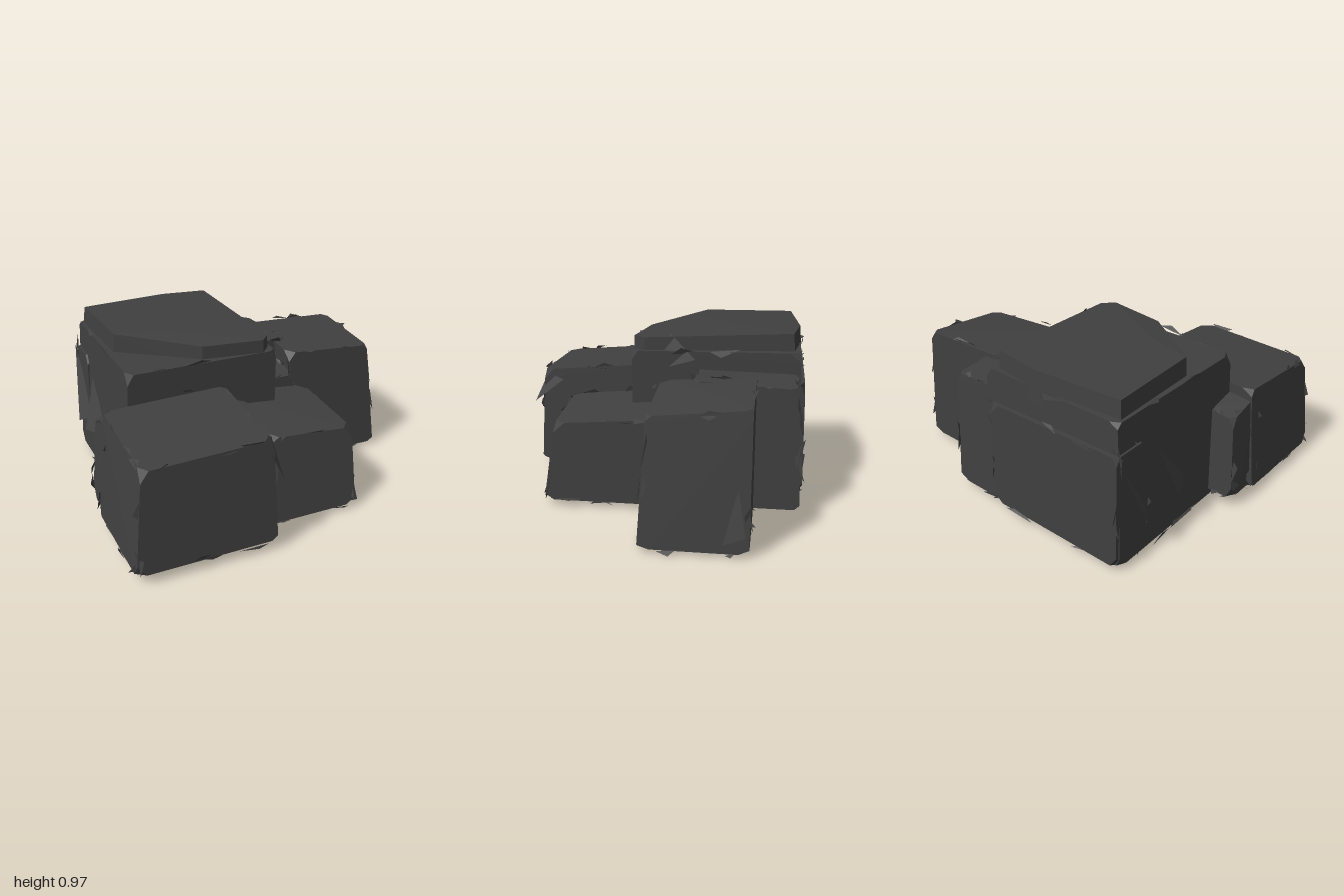
import * as THREE from 'three';
import { ConvexGeometry } from 'three/addons/geometries/ConvexGeometry.js';

// Small seeded generator for the ragged edges
function seeded(seed) {
  let s = seed;
  return () => {
    s = (s * 16807) % 2147483647;
    return s / 2147483647;
  };
}

// Corner pairs forming the twelve edges of a block (corner bits: x = 1, y = 2, z = 4)
const EDGES = [];
for (let i = 0; i < 8; i++) for (const b of [1, 2, 4]) if (!(i & b)) EDGES.push([i, i | b]);

// Eight corners from a bottom and a top rectangle [x0, x1, z0, z1];
// the top heights run back-left, back-right, front-left, front-right
function blockCorners({ bottom, top, y0, y1 }) {
  return Array.from({ length: 8 }, (_, i) => {
    const rect = i & 2 ? top : bottom;
    const y = i & 2 ? y1[(i & 1) + (i & 4 ? 2 : 0)] : y0;
    return new THREE.Vector3(rect[i & 1], y, rect[i & 4 ? 3 : 2]);
  });
}

// Block with every corner chipped into three points
function rockGeometry(corners, chip, rand) {
  const points = [];
  corners.forEach((c, i) => {
    for (const b of [1, 2, 4]) {
      const p = c.clone().lerp(corners[i ^ b], (chip * (0.5 + rand())) / c.distanceTo(corners[i ^ b]));
      points.push(p);
    }
  });
  return new ConvexGeometry(points);
}

// Thin splinters scattered along the edges of a block
function splinterGeometry(corners, rand) {
  const pos = [];
  const off = (p, k) => pos.push(p.x + (rand() - 0.5) * k, Math.max(0, p.y + (rand() - 0.5) * k), p.z + (rand() - 0.5) * k);
  for (const [a, b] of EDGES) {
    for (let n = 0; n < 3; n++) {
      const t = rand() * 0.75;
      const at = (u) => corners[a].clone().lerp(corners[b], u);
      off(at(t), 0.035);
      off(at(t + 0.12 + rand() * 0.13), 0.035);
      off(at(t + 0.1), 0.07);
    }
  }
  const g = new THREE.BufferGeometry();
  g.setAttribute('position', new THREE.Float32BufferAttribute(pos, 3));
  g.computeVertexNormals();
  return g;
}

const ROCKS = [
  { name: 'tallRockBase', bottom: [-0.79, 0.13, -0.82, 0.17], top: [-0.75, 0.14, -0.8, 0.17], y0: 0.04, y1: [0.87, 0.87, 0.86, 0.86] },
  { name: 'tallRockBackSlab', bottom: [-0.78, 0.1, -0.84, -0.6], top: [-0.77, 0.1, -0.83, -0.6], y0: 0.04, y1: [0.7, 0.68, 0.7, 0.68] },
  { name: 'frontLeftRock', bottom: [-0.96, -0.17, 0.17, 0.82], top: [-0.9, -0.19, 0.17, 0.79], y0: 0.06, y1: [0.68, 0.7, 0.63, 0.65] },
  { name: 'sideRock', bottom: [-0.94, -0.68, -0.02, 0.24], top: [-0.9, -0.68, 0, 0.24], y0: 0.08, y1: [0.57, 0.6, 0.63, 0.64] },
  { name: 'smallFrontRock', bottom: [-0.17, 0.43, 0, 0.64], top: [-0.08, 0.42, 0, 0.57], y0: 0.03, y1: [0.58, 0.53, 0.53, 0.49] },
  { name: 'rightRock', bottom: [0.4, 0.97, -0.56, 0.01], top: [0.33, 0.9, -0.56, -0.03], y0: 0.02, y1: [0.77, 0.75, 0.74, 0.7] },
  { name: 'backRock', bottom: [0.08, 0.42, -0.82, -0.2], top: [0.08, 0.41, -0.78, -0.22], y0: 0.04, y1: [0.75, 0.73, 0.76, 0.76] },
  { name: 'fillerRock', bottom: [0.1, 0.42, -0.26, 0.02], top: [0.1, 0.34, -0.24, 0.01], y0: 0.05, y1: [0.66, 0.66, 0.61, 0.61] },
];

export function createModel() {
  const model = new THREE.Group();
  model.name = 'rockPile';
  const stone = new THREE.MeshStandardMaterial({ color: 0x404040 });
  stone.name = 'dark stone';
  stone.flatShading = true;
  const splinter = stone;
  splinter.side = THREE.DoubleSide;
  const rand = seeded(4711);

  // Chipped blocks with their splinters
  for (const rock of ROCKS) {
    const corners = blockCorners(rock);
    const group = new THREE.Group();
    group.name = rock.name;
    const body = new THREE.Mesh(rockGeometry(corners, 0.045, rand), stone);
    body.name = rock.name + 'Body';
    const chips = new THREE.Mesh(splinterGeometry(corners, rand), stone);
    chips.name = rock.name + 'Splinters';
    group.add(body, chips);
    model.add(group);
  }

  // Cap of the tall rock, broken away at its front left corner
  const outline = [[-0.74, -0.76], [-0.2, -0.81], [0.08, -0.77], [0.12, 0.1], [0.06, 0.17], [-0.3, 0.12], [-0.45, -0.14], [-0.72, -0.2]];
  const cap = [];
  for (const [x, z] of outline) {
    cap.push(new THREE.Vector3(x, 0.78, z));
    cap.push(new THREE.Vector3(x * 0.98, z > 0 ? 0.935 : 0.97, z * 0.98));
  }
  const capMesh = new THREE.Mesh(new ConvexGeometry(cap), stone);
  capMesh.name = 'tallRockCap';
  model.add(capMesh);

  // Loose shards standing out from the pile: three corners each
  const shards = [
    [[-0.99, 0.08, 0.78], [-0.86, 0.08, 0.82], [-0.92, 0.16, 0.8]],
    [[0.99, 0.12, -0.54], [0.94, 0.35, -0.5], [0.96, 0.05, -0.4]],
    [[-0.84, 0.25, -0.66], [-0.78, 0.7, -0.84], [-0.76, 0.3, -0.58]],
    [[-0.86, 0.3, -0.42], [-0.77, 0.6, -0.5], [-0.77, 0.3, -0.25]],
    [[-0.16, 0.45, 0.85], [-0.23, 0.62, 0.78], [-0.14, 0.6, 0.66]],
    [[0.1, 0.96, -0.05], [0.13, 0.75, 0.02], [0.16, 0.82, -0.2]],
    [[0.66, 0.05, -0.1], [0.76, 0, 0.03], [0.92, 0.04, 0]],
    [[0.3, 0.05, 0.63], [0.45, 0.04, 0.63], [0.42, 0.25, 0.58]],
  ];
  const g = new THREE.BufferGeometry();
  g.setAttribute('position', new THREE.Float32BufferAttribute(shards.flat(2), 3));
  g.computeVertexNormals();
  const loose = new THREE.Mesh(g, stone);
  loose.name = 'looseShards';
  model.add(loose);
  return model;
}
